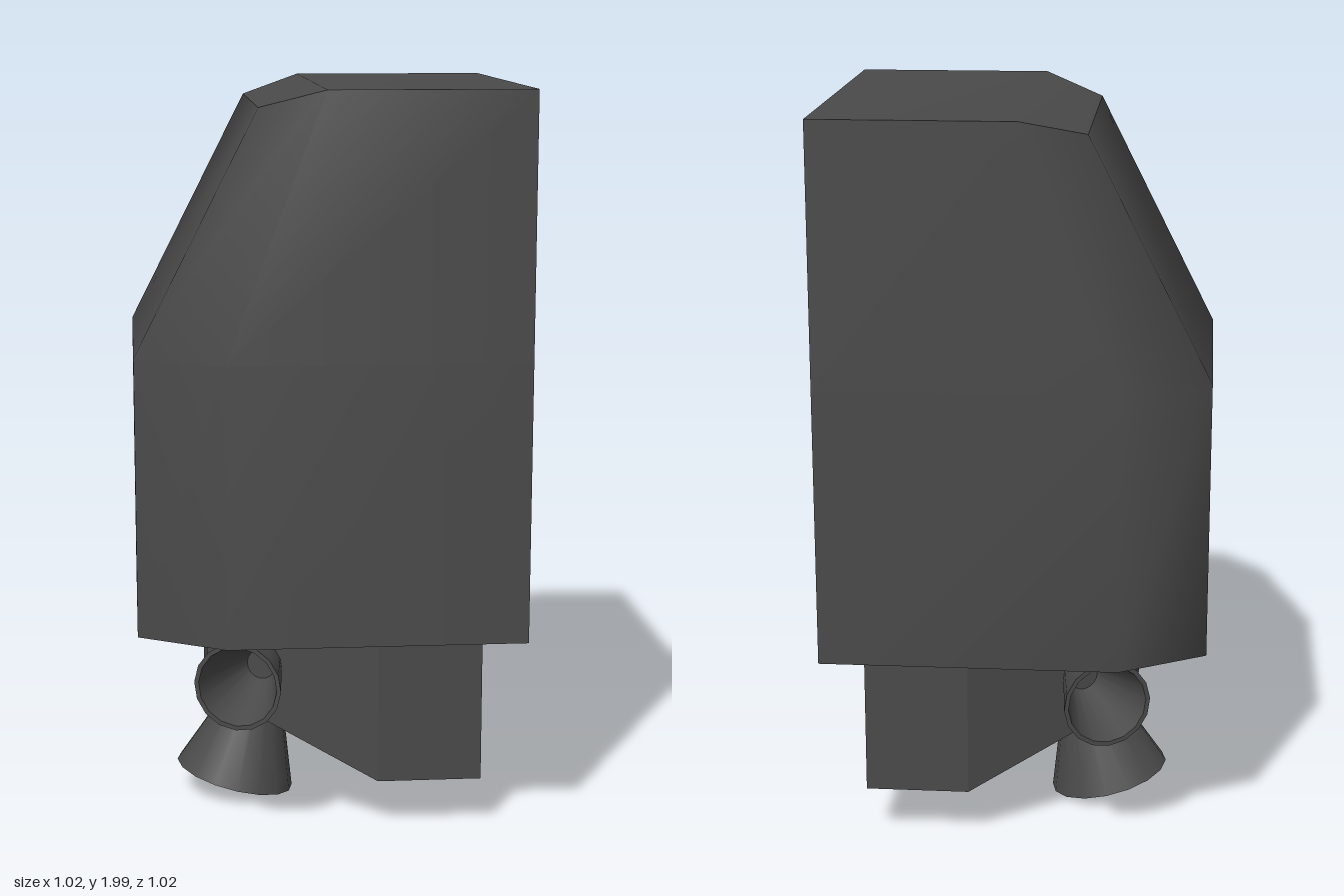
import * as THREE from 'three';
import { toCreasedNormals } from 'three/addons/utils/BufferGeometryUtils.js';

// Six-sided hull: each ring lists three [x, y, z] corners on the +z side, mirrored to -z
function hull(rings, crease) {
  const loops = rings.map(r => [...r, ...r.slice().reverse().map(([x, y, z]) => [x, y, -z])]);
  const walls = [], caps = [];
  const quad = (out, a, b, c, d) => out.push(...a, ...b, ...c, ...a, ...c, ...d);
  for (let k = 0; k < loops.length - 1; k++) {
    const lo = loops[k], up = loops[k + 1];
    for (let i = 0; i < 6; i++) {
      const j = (i + 1) % 6;
      quad(walls, lo[j], lo[i], up[i], up[j]);
    }
  }
  // caps fold along the line between corners 1 and 4
  const b = loops[0], t = loops[loops.length - 1];
  quad(caps, b[0], b[1], b[4], b[5]);
  quad(caps, b[1], b[2], b[3], b[4]);
  quad(caps, t[5], t[4], t[1], t[0]);
  quad(caps, t[4], t[3], t[2], t[1]);
  const make = p => {
    const g = new THREE.BufferGeometry();
    g.setAttribute('position', new THREE.Float32BufferAttribute(p, 3));
    return toCreasedNormals(g, crease);
  };
  return [make(walls), make(caps)];
}

export function createModel() {
  const model = new THREE.Group();
  const darkGrey = new THREE.MeshStandardMaterial({ color: 0x4a4a4a });

  const add = (name, geometry) => {
    const mesh = new THREE.Mesh(geometry, darkGrey);
    mesh.name = name;
    model.add(mesh);
    return mesh;
  };

  // Main body: chamfered box leaning back towards the top
  const plan = y => [[0.51, y, 0.51], [-0.28, y, 0.51], [-0.51, y, 0.37]];
  const top = [[0.51, 2, 0.51], [-0.02, 2, 0.51], [-0.185, 1.95, 0.37]];
  const [bodyWalls, bodyCaps] = hull([plan(0.565), plan(1.31), top], 1.05);
  add('bodyWalls', bodyWalls);
  add('bodyCaps', bodyCaps);

  // Engine block below, tapering towards -x
  const [blockWalls, blockCaps] = hull([
    [[0.41, 0.145, 0.37], [0.13, 0.145, 0.37], [-0.32, 0.345, 0.14]],
    [[0.41, 0.565, 0.37], [0.13, 0.565, 0.37], [-0.32, 0.565, 0.14]],
  ], 0.2);
  add('engineBlockWalls', blockWalls);
  add('engineBlockCaps', blockCaps);

  // Hollow nozzle with its mouth at the origin, opening along +y
  const nozzle = (name, mouth, neck, length, sides, position, direction) => {
    const wall = 0.012;
    const profile = [
      [neck, -length], [mouth, 0], [mouth - wall, 0], [neck - wall, -length * 0.9], [0, -length * 0.9],
    ].map(([r, y]) => new THREE.Vector2(r, y));
    const mesh = add(name, toCreasedNormals(new THREE.LatheGeometry(profile, sides), 0.8));
    mesh.position.set(...position);
    mesh.quaternion.setFromUnitVectors(
      new THREE.Vector3(0, 1, 0), new THREE.Vector3(...direction).normalize());
  };

  nozzle('mainNozzle', 0.168, 0.055, 0.3, 16, [-0.24, 0.052, 0], [-0.253, -0.967, 0]);
  for (const s of [1, -1]) {
    nozzle(s > 0 ? 'frontThruster' : 'backThruster', 0.12, 0.05, 0.25, 16,
      [-0.25, 0.435, s * 0.416], [-0.34, 0, s * 0.94]);
  }

  return model;
}
